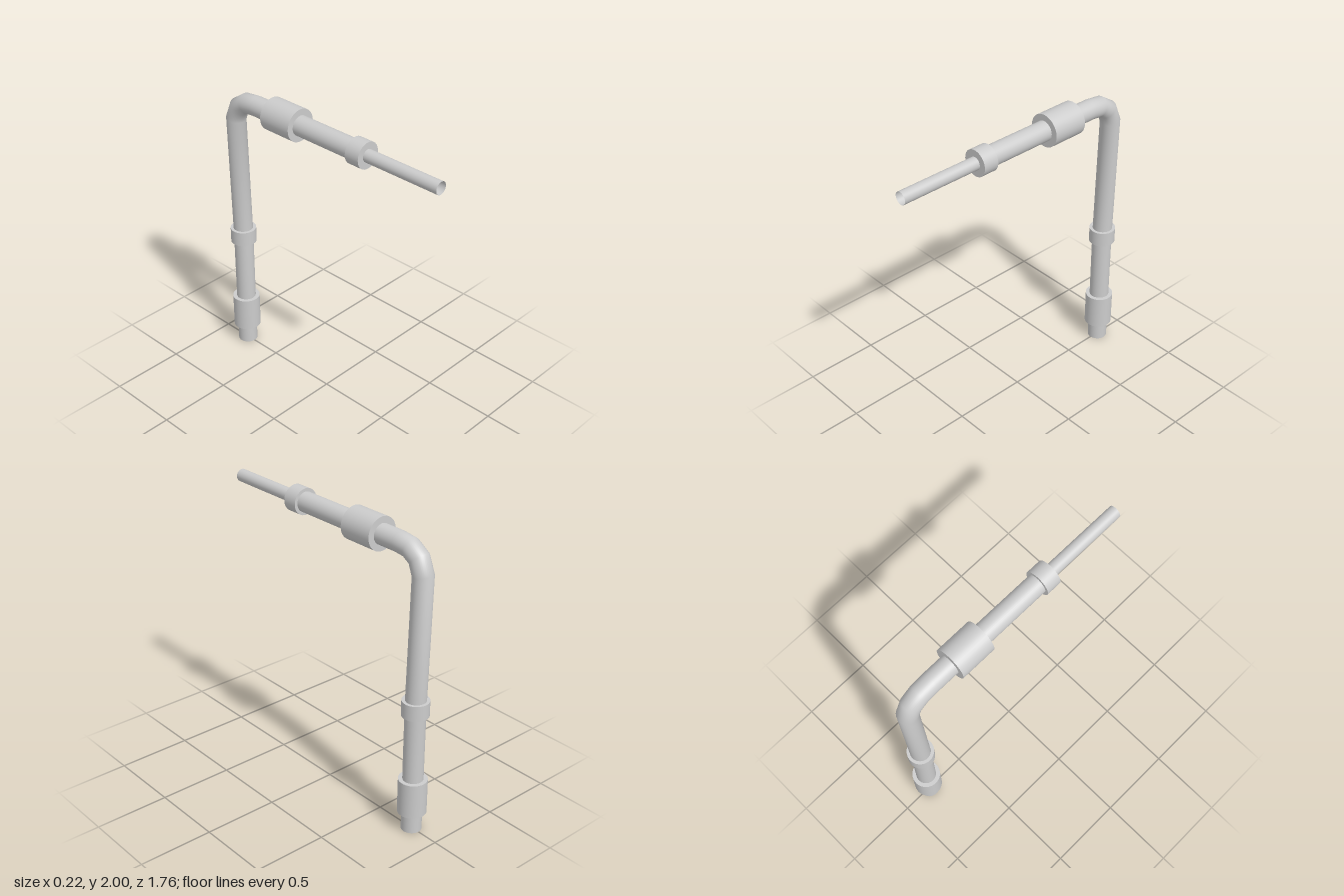
import * as THREE from 'three';

const SIDES = 40;
const PIPE_R = 0.066;
const THIN_R = 0.042;
const AXIS_Y = 1.893; // height of the horizontal run
const AXIS_Z = -0.787; // depth of the vertical run

// Polyline whose samples fall exactly on the given points, for a faceted bend
class PolylineCurve extends THREE.Curve {
  constructor(points) {
    super();
    this.points = points;
  }
  getPoint(t, target = new THREE.Vector3()) {
    const p = this.points;
    const s = t * (p.length - 1);
    const i = Math.min(Math.floor(s + 1e-6), p.length - 2);
    return target.lerpVectors(p[i], p[i + 1], s - i);
  }
  getPointAt(t, target) {
    return this.getPoint(t, target);
  }
  getTangentAt(t, target = new THREE.Vector3()) {
    const p = this.points;
    const i = Math.round(t * (p.length - 1));
    const a = p[Math.max(i - 1, 0)], b = p[i], c = p[Math.min(i + 1, p.length - 1)];
    const before = b.clone().sub(a).normalize();
    const after = c.clone().sub(b).normalize();
    return target.copy(before).add(after).normalize();
  }
}

export function createModel() {
  const group = new THREE.Group();
  const solid = new THREE.MeshStandardMaterial({ color: 0xcccccc });
  const open = new THREE.MeshStandardMaterial({ color: 0xcccccc, side: THREE.DoubleSide });

  function add(name, geometry, material) {
    const mesh = new THREE.Mesh(geometry, material);
    mesh.name = name;
    group.add(mesh);
    return mesh;
  }

  // Sleeve with flat annular ends; horizontal ones run along z
  function sleeve(name, radius, from, to, horizontal, endBore = PIPE_R) {
    const h = (to - from) / 2;
    const rings = [
      [[PIPE_R, -h], [radius, -h]],
      [[radius, -h], [radius, h]],
      [[radius, h], [endBore, h]],
    ];
    const holder = new THREE.Group();
    holder.name = name;
    for (const ring of rings) {
      const geometry = new THREE.LatheGeometry(ring.map(([r, y]) => new THREE.Vector2(r, y)), SIDES);
      const mesh = new THREE.Mesh(geometry, solid);
      mesh.name = name + 'Face';
      holder.add(mesh);
    }
    if (horizontal) {
      holder.rotation.x = Math.PI / 2;
      holder.position.set(0, AXIS_Y, (from + to) / 2);
    } else {
      holder.position.set(0, (from + to) / 2, AXIS_Z);
    }
    group.add(holder);
  }

  // Main pipe: straight foot, slightly leaning riser, bend, horizontal run
  const path = [
    [0, AXIS_Z], [0.88, AXIS_Z], [1.746, -0.808], [1.837, -0.771],
    [1.883, -0.7], [AXIS_Y, -0.61], [AXIS_Y, 0.33],
  ].map(([y, z]) => new THREE.Vector3(0, y, z));
  add('mainPipe', new THREE.TubeGeometry(new PolylineCurve(path), path.length - 1, PIPE_R, SIDES), open);

  // Thin open outlet tube
  const outlet = add('outletTube', new THREE.CylinderGeometry(THIN_R, THIN_R, 0.65, SIDES, 1, true), open);
  outlet.rotation.x = Math.PI / 2;
  outlet.position.set(0, AXIS_Y, 0.557);

  // Sleeves on the vertical run
  sleeve('lowerCoupling', 0.093, 0.13, 0.37, false);
  sleeve('riserCollar', 0.087, 0.825, 0.928, false);

  // Sleeves on the horizontal run
  sleeve('upperCoupling', 0.108, -0.464, -0.222, true);
  sleeve('outletCollar', 0.087, 0.23, 0.333, true, THIN_R);

  return group;
}
